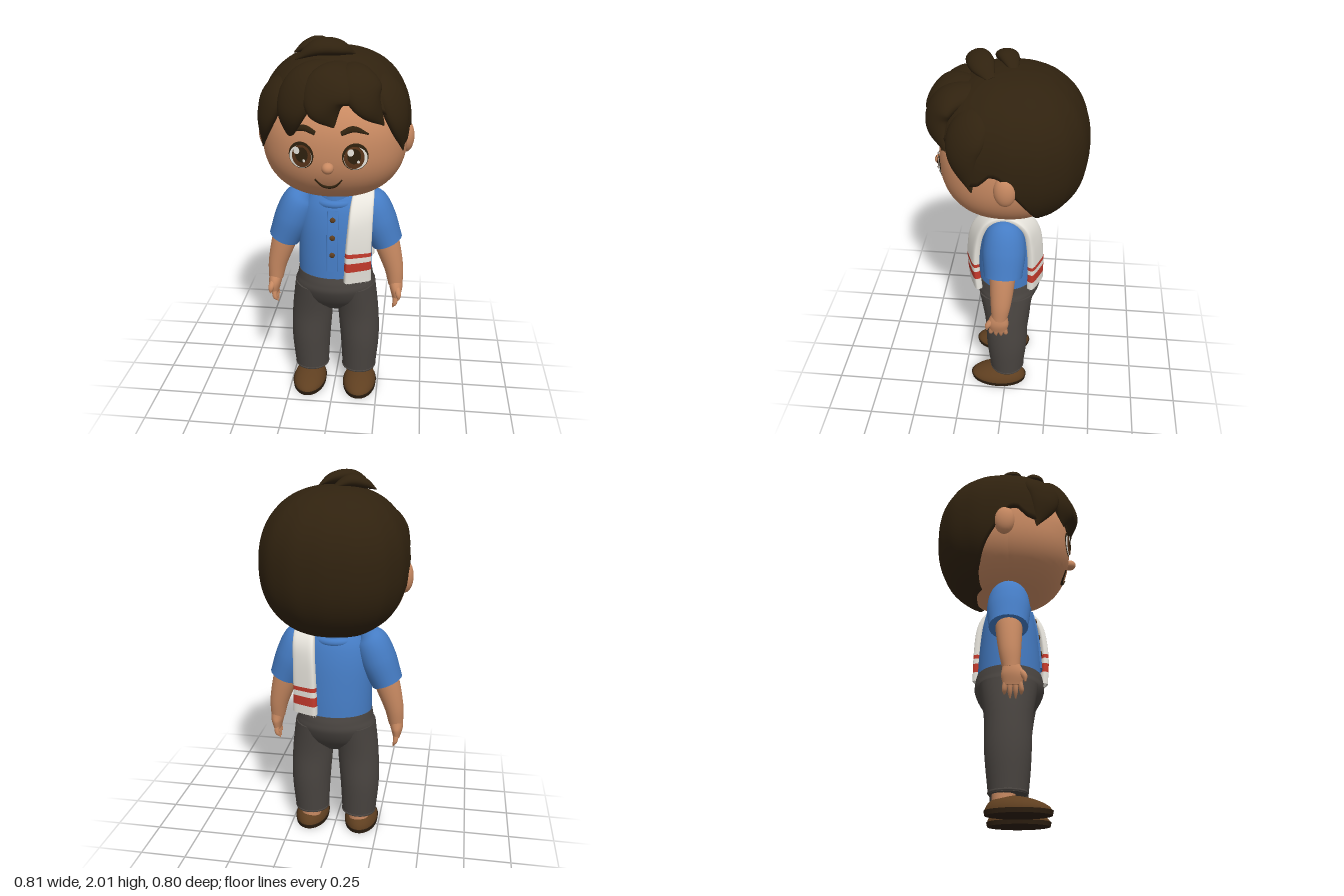
import * as THREE from 'three';

const V = (x, y, z) => new THREE.Vector3(x, y, z);
const mat = (name, color, side = THREE.FrontSide) => {
  const m = new THREE.MeshStandardMaterial({ color, side });
  m.name = name;
  return m;
};
const P = 2.3; // roundness power of head and hair

// Depth of the face surface at a point
const faceZ = (x, y) =>
  0.34 * Math.pow(Math.max(0, 1 - Math.abs(x / 0.37) ** P - Math.abs((y - 1.5) / 0.31) ** P), 1 / P);

function buildGeometry(pos, idx) {
  const g = new THREE.BufferGeometry();
  g.setAttribute('position', new THREE.Float32BufferAttribute(pos, 3));
  g.setIndex(idx);
  g.computeVertexNormals();
  return g;
}

// Sweep an ellipse along smooth points; sizes are [towards ref, across] half widths
function sweep(points, sizes, ref = V(0, 0, 1), { n = 28, seg = 24, e = 1, t0 = 0, t1 = 1 } = {}) {
  const path = new THREE.CatmullRomCurve3(points.map(p => V(...p)), false, 'catmullrom');
  const size = new THREE.CatmullRomCurve3(sizes.map(s => V(s[0], s[1], 0)), false, 'catmullrom');
  const pos = [], idx = [], centres = [];
  const pw = a => Math.sign(a) * Math.abs(a) ** e;
  for (let i = 0; i <= n; i++) {
    const t = t0 + (t1 - t0) * i / n;
    const c = path.getPoint(t), w = path.getTangent(t), s = size.getPoint(t);
    const r = typeof ref === 'function' ? ref(c) : ref;
    const u = r.clone().addScaledVector(w, -r.dot(w)).normalize();
    const v = w.clone().cross(u);
    centres.push(c);
    for (let j = 0; j < seg; j++) {
      const a = j / seg * Math.PI * 2;
      const p = c.clone().addScaledVector(u, Math.max(s.x, 0.0005) * pw(Math.cos(a)))
        .addScaledVector(v, Math.max(s.y, 0.0005) * pw(Math.sin(a)));
      pos.push(p.x, p.y, p.z);
    }
  }
  for (let i = 0; i < n; i++) for (let j = 0; j < seg; j++) {
    const k = (j + 1) % seg, a = i * seg + j, b = i * seg + k;
    idx.push(a, b, b + seg, a, b + seg, a + seg);
  }
  for (const end of [0, n]) { // end caps with their own corners
    const base = pos.length / 3;
    pos.push(...centres[end].toArray(), ...pos.slice(end * seg * 3, (end + 1) * seg * 3));
    for (let j = 0; j < seg; j++) {
      const a = base + 1 + j, b = base + 1 + (j + 1) % seg;
      idx.push(base, end ? a : b, end ? b : a);
    }
  }
  return buildGeometry(pos, idx);
}

// Hair shell: rounded cap whose lower edge follows a hairline of [azimuth, height]
function hairCap() {
  const line = [[0, 1.74], [35, 1.72], [55, 1.62], [62, 1.5], [72, 1.52], [80, 1.58], [88, 1.56],
    [95, 1.48], [115, 1.3], [135, 1.21], [180, 1.205]];
  const edge = d => {
    const i = Math.max(1, line.findIndex(l => l[0] >= d));
    const [a, b] = [line[i - 1], line[i]];
    return a[1] + (b[1] - a[1]) * (d - a[0]) / (b[0] - a[0]);
  };
  const R = 0.385, rows = 26, seg = 96, pos = [], idx = [];
  for (let i = 0; i <= rows + 1; i++) for (let j = 0; j < seg; j++) {
    const a = j / seg * Math.PI * 2;
    const deg = Math.min(180, Math.abs(j <= seg / 2 ? j : seg - j) * 360 / seg);
    const h = Math.cos(Math.acos((edge(deg) - 1.56) / R) * Math.min(i, rows) / rows);
    const s = Math.sin(a), c = Math.cos(a);
    const around = (Math.abs(s) ** P + Math.abs(c) ** P) ** (-1 / P);
    const tuck = i > rows ? 0.88 : 1;
    const r = R * tuck * Math.max(0, 1 - Math.abs(h) ** P) ** (1 / P) * around * (1 + 0.004 * Math.cos(16 * a));
    pos.push(r * s, 1.56 + R * h, -0.02 + r * c);
  }
  for (let i = 0; i <= rows; i++) for (let j = 0; j < seg; j++) {
    const k = (j + 1) % seg, a = i * seg + j, d = i * seg + k;
    idx.push(a, a + seg, d + seg, a, d + seg, d);
  }
  return buildGeometry(pos, idx);
}

export function createModel() {
  const model = new THREE.Group();
  model.name = 'boy';
  const skin = mat('skin', 0xc98a62), hair = mat('dark brown hair', 0x30220f), shirt = mat('blue shirt', 0x457cc4);
  const trousers = mat('charcoal cloth', 0x4a4541), shoe = mat('brown leather', 0x5f3f20);
  const sole = mat('dark sole', 0x2c1e10), white = mat('white', 0xe9e6de), red = mat('red stripe', 0xc63a2c);
  const iris = mat('brown iris', 0x5a351a);
  const add = (name, geo, m) => {
    const mesh = new THREE.Mesh(geo, m);
    mesh.name = name;
    model.add(mesh);
    return mesh;
  };
  const ball = (name, m, p, r) => add(name, new THREE.SphereGeometry(1, 24, 16).scale(...r).translate(...p), m);

  // Head
  const head = new THREE.SphereGeometry(1, 56, 40), hp = head.attributes.position;
  for (let i = 0; i < hp.count; i++) {
    const v = V().fromBufferAttribute(hp, i);
    const k = (Math.abs(v.x) ** P + Math.abs(v.y) ** P + Math.abs(v.z) ** P) ** (-1 / P);
    hp.setXYZ(i, v.x * k * 0.37, 1.5 + v.y * k * 0.31, v.z * k * 0.34);
  }
  head.computeVertexNormals();
  add('head', head, skin);
  ball('nose', skin, [0, 1.43, 0.345], [0.03, 0.028, 0.032]);

  // Thin disc laid on the face
  const faceDisc = (name, x, y, rx, ry, lift, m) => {
    const g = new THREE.CircleGeometry(1, 32).scale(rx, ry, 1).translate(x, y, 0), p = g.attributes.position;
    for (let i = 0; i < p.count; i++) p.setZ(i, faceZ(p.getX(i), p.getY(i)) + lift);
    g.computeVertexNormals();
    add(name, g, m);
  };
  const fromHead = p => V(p.x, p.y - 1.52, p.z);
  const onFace = (x, y) => [x, y, faceZ(x, y) + 0.003];
  for (const s of [1, -1]) {
    const x = s * 0.13;
    faceDisc('eyeOutline', x, 1.487, 0.062, 0.067, 0.004, hair);
    faceDisc('eyeWhite', x + s * 0.002, 1.48, 0.056, 0.056, 0.007, white);
    faceDisc('iris', x - s * 0.004, 1.484, 0.048, 0.056, 0.010, iris);
    faceDisc('pupil', x - s * 0.004, 1.492, 0.032, 0.038, 0.013, hair);
    faceDisc('eyeHighlight', x - 0.02, 1.512, 0.015, 0.018, 0.016, white);
    faceDisc('eyeGlint', x + 0.016, 1.465, 0.007, 0.008, 0.016, white);
    add('eyebrow', sweep([onFace(s * 0.062, 1.598), onFace(s * 0.12, 1.618), onFace(s * 0.19, 1.592)],
      [[0.007, 0.011], [0.009, 0.015], [0.003, 0.004]], fromHead, { n: 14, seg: 12 }), hair);
    ball('ear', skin, [s * 0.362, 1.495, -0.02], [0.043, 0.083, 0.055]);
  }
  add('mouth', sweep([[-0.066, 1.363], [-0.035, 1.327], [0, 1.316], [0.035, 1.327], [0.066, 1.363]].map(p => onFace(...p)),
    [[0.004, 0.003], [0.007, 0.008], [0.004, 0.003]], fromHead, { n: 20, seg: 10 }), hair);

  // Hair cap, fringe locks and top tufts
  add('hairCap', hairCap(), hair);
  const locks = [
    [[0.1, 1.89, 0.1], [0.03, 1.84, 0.29], [-0.01, 1.74, 0.355], [0.03, 1.635, 0.36], 0.12],
    [[0.05, 1.9, 0.08], [-0.1, 1.84, 0.25], [-0.175, 1.7, 0.305], [-0.19, 1.55, 0.285], 0.105],
    [[0, 1.89, 0.06], [-0.24, 1.78, 0.16], [-0.315, 1.65, 0.19], [-0.35, 1.47, 0.15], 0.105],
    [[0.1, 1.89, 0.08], [0.14, 1.84, 0.26], [0.18, 1.75, 0.315], [0.26, 1.63, 0.27], 0.1],
    [[0.1, 1.89, 0.06], [0.26, 1.78, 0.14], [0.32, 1.65, 0.18], [0.352, 1.47, 0.14], 0.105],
  ];
  for (const l of locks) {
    const w = l[4];
    add('fringeLock', sweep(l.slice(0, 4), [[0.01, w * 0.3], [0.045, w * 0.85], [0.045, w], [0.035, w * 0.7], [0.002, 0.004]],
      fromHead), hair);
  }
  add('topTuft', sweep([[0.015, 1.93, -0.035], [-0.07, 1.965, 0], [-0.14, 1.95, 0.03], [-0.2, 1.92, 0.04]],
    [[0.004, 0.015], [0.03, 0.05], [0.026, 0.045], [0.002, 0.006]], fromHead), hair);
  add('topTuft', sweep([[0.1, 1.93, 0.07], [0.03, 1.962, 0.115], [-0.07, 1.965, 0.155], [-0.175, 1.91, 0.17]],
    [[0.004, 0.02], [0.033, 0.06], [0.034, 0.055], [0.002, 0.006]], fromHead), hair);

  // Shirt body, collar and neck
  const bodyY = [0.72, 0.85, 1.0, 1.1, 1.16, 1.2], bodyZ = [0.168, 0.162, 0.148, 0.128, 0.105, 0.08];
  const bodyX = [0.2, 0.2, 0.195, 0.175, 0.14, 0.09];
  add('shirtBody', sweep(bodyY.map(y => [0, y, 0]), bodyZ.map((z, i) => [z, bodyX[i]]), V(0, 0, 1), { seg: 40 }), shirt);
  add('neck', new THREE.CylinderGeometry(0.08, 0.08, 0.14, 24).translate(0, 1.18, 0), skin);
  add('collarBand', new THREE.CylinderGeometry(0.096, 0.105, 0.09, 36).translate(0, 1.175, 0), shirt);
  add('collarRoll', new THREE.TorusGeometry(0.1, 0.022, 14, 40).rotateX(Math.PI / 2).translate(0, 1.145, 0), shirt);

  // Button placket following the chest
  const chestZ = y => {
    const i = Math.max(1, bodyY.findIndex(b => b >= y));
    return bodyZ[i - 1] + (bodyZ[i] - bodyZ[i - 1]) * (y - bodyY[i - 1]) / (bodyY[i] - bodyY[i - 1]);
  };
  add('placket', sweep([0.79, 0.88, 0.97, 1.05, 1.12].map(y => [0, y, chestZ(y) + 0.002]),
    [[0.008, 0.03], [0.008, 0.03]], V(0, 0, 1), { e: 0.4 }), shirt);
  for (const y of [0.885, 0.98, 1.075]) ball('button', shoe, [0, y, chestZ(y) + 0.01], [0.015, 0.015, 0.008]);

  // Trousers seat
  add('trouserSeat', sweep([0.5, 0.57, 0.65, 0.7, 0.742].map(y => [0, y, 0]),
    [[0.06, 0.1], [0.135, 0.2], [0.178, 0.222], [0.18, 0.21], [0.172, 0.203]], V(0, 0, 1), { seg: 40 }), trousers);

  for (const s of [1, -1]) {
    // Legs and shoes
    add('trouserLeg', sweep([[s * 0.137, 0.1, -0.005], [s * 0.14, 0.3, -0.005], [s * 0.13, 0.48, -0.003], [s * 0.115, 0.66, 0]],
      [[0.095, 0.096], [0.115, 0.11], [0.122, 0.114], [0.15, 0.108]]), trousers);
    add('trouserCuff', new THREE.TorusGeometry(0.092, 0.007, 8, 32).rotateX(Math.PI / 2).translate(s * 0.137, 0.107, -0.005), trousers);
    add('ankle', new THREE.CylinderGeometry(0.057, 0.057, 0.08, 24).translate(s * 0.14, 0.085, -0.025), skin);
    const upper = new THREE.SphereGeometry(1, 32, 12, 0, Math.PI * 2, 0, Math.PI / 2), up = upper.attributes.position;
    for (let i = 0; i < up.count; i++) up.setY(i, up.getY(i) * (1 - 0.25 * up.getZ(i)));
    upper.scale(0.093, 0.072, 0.16).translate(s * 0.146, 0.018, 0.045);
    upper.computeVertexNormals();
    add('shoe', upper, shoe);
    add('shoeSole', new THREE.CylinderGeometry(1, 0.97, 0.022, 36).scale(0.097, 1, 0.165).translate(s * 0.146, 0.011, 0.045), sole);

    // Sleeves, arms and hands
    add('sleeve', sweep([[s * 0.16, 1.19, 0], [s * 0.19, 1.145, 0], [s * 0.228, 1.04, 0], [s * 0.282, 0.91, 0]],
      [[0.03, 0.03], [0.092, 0.083], [0.112, 0.1], [0.1, 0.086]]), shirt);
    add('arm', sweep([[s * 0.25, 1.0, 0], [s * 0.285, 0.89, 0.003], [s * 0.322, 0.76, 0.008], [s * 0.336, 0.66, 0.015]],
      [[0.07, 0.07], [0.067, 0.068], [0.055, 0.053], [0.042, 0.04]]), skin);
    add('palm', sweep([[s * 0.334, 0.68, 0.013], [s * 0.341, 0.63, 0.02], [s * 0.341, 0.575, 0.02]],
      [[0.042, 0.038], [0.055, 0.034], [0.045, 0.02]]), skin);
    [[0.062, 0.535], [0.035, 0.515], [0.008, 0.515], [-0.018, 0.535]].forEach(([z, y]) =>
      add('finger', sweep([[s * 0.342, 0.61, 0.02 + (z - 0.022) * 0.75], [s * 0.338, 0.56, z], [s * 0.325, y, z]],
        [[0.014, 0.016], [0.013, 0.014], [0.011, 0.011], [0.003, 0.003]], V(0, 0, 1), { n: 12, seg: 12 }), skin));
    add('thumb', sweep([[s * 0.345, 0.655, 0.045], [s * 0.355, 0.62, 0.075], [s * 0.358, 0.588, 0.082]],
      [[0.016, 0.016], [0.016, 0.016], [0.004, 0.004]], V(0, 0, 1), { n: 12, seg: 12 }), skin);
  }

  // Towel over the left shoulder, cut into white and red lengths
  const towel = [[0.135, 0.74, 0.165], [0.138, 0.9, 0.175], [0.145, 1.05, 0.16], [0.15, 1.14, 0.125], [0.155, 1.195, 0.07],
    [0.155, 1.212, 0], [0.155, 1.195, -0.07], [0.15, 1.14, -0.125], [0.145, 1.05, -0.15], [0.14, 0.9, -0.16], [0.138, 0.76, -0.16]];
  const towelPath = new THREE.CatmullRomCurve3(towel.map(p => V(...p)), false, 'catmullrom');
  const towelOut = p => V(0.45 * Math.abs(p.z) / 0.18, Math.max(0, p.y - 1.05) * 8, p.z * 6);
  const tAt = (y, back) => {
    let lo = 0, hi = 0.5;
    for (let i = 0; i < 30; i++) {
      const m = (lo + hi) / 2;
      if (towelPath.getPoint(back ? 1 - m : m).y < y) lo = m; else hi = m;
    }
    return back ? 1 - lo : lo;
  };
  const stripes = [0.81, 0.86, 0.89, 0.912];
  const cuts = [0, ...stripes.map(y => tAt(y, false)), ...stripes.map(y => tAt(y, true)).reverse(), 1];
  for (let i = 0; i + 1 < cuts.length; i++) {
    add(i % 2 ? 'towelStripe' : 'towelCloth', sweep(towel, [[0.022, 0.075], [0.02, 0.064], [0.018, 0.054], [0.02, 0.064], [0.022, 0.072]],
      towelOut, { n: i === 4 ? 48 : 6, e: 0.5, t0: cuts[i], t1: cuts[i + 1] }), i % 2 ? red : white);
  }
  for (const [y, z] of [[0.738, 0.165], [0.758, -0.16]]) for (let i = 0; i < 9; i++) {
    const d = (i - 4) * 0.0145;
    add('towelFringe', new THREE.ConeGeometry(0.008, 0.018 + (i * 5 % 3) * 0.006, 6).rotateX(Math.PI)
      .translate(0.136 + d, y - 0.005, z - Math.sign(z) * d * 0.42), white);
  }
  return model;
}
